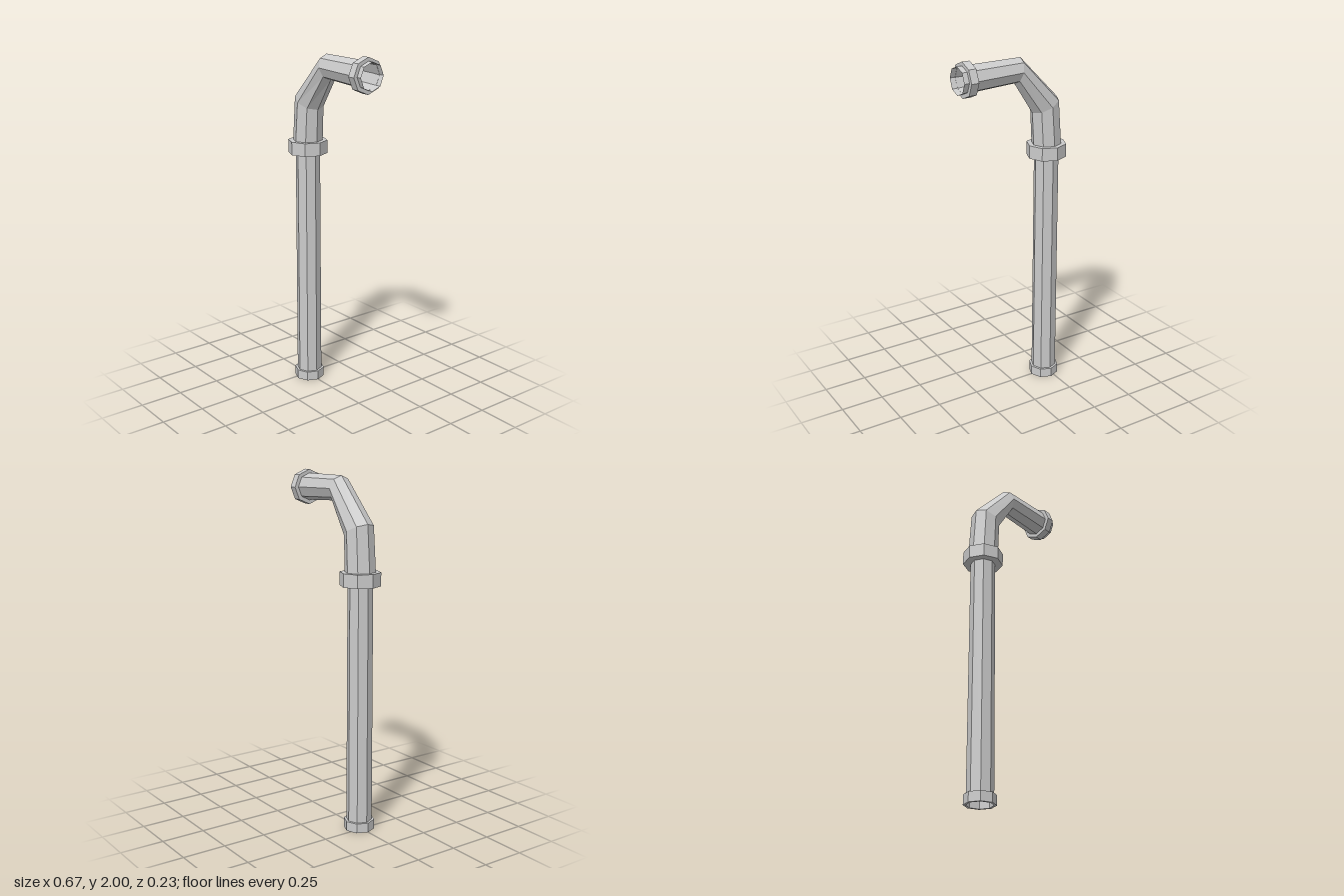
import * as THREE from 'three';

const material = new THREE.MeshStandardMaterial({
  color: 0xcccccc, flatShading: true, side: THREE.DoubleSide,
});
const SIDES = 8;

function part(name, geometry) {
  const mesh = new THREE.Mesh(geometry, material);
  mesh.name = name;
  return mesh;
}

// Octagonal turned part from [radius, height] pairs
function turned(name, profile) {
  return part(name, new THREE.LatheGeometry(profile.map(([r, y]) => new THREE.Vector2(r, y)), SIDES));
}

// Closed octagonal ring with an open bore
function collar(name, inner, outer, y0, y1) {
  return turned(name, [[inner, y0], [outer, y0], [outer, y1], [inner, y1], [inner, y0]]);
}

// Octagonal tube through sections given by their outer point, inner point and half width in z
function bentTube(name, sections) {
  const positions = [], index = [];
  sections.forEach(([ox, oy, ix, iy, w], s) => {
    for (let i = 0; i < SIDES; i++) {
      const a = (i / SIDES) * Math.PI * 2;
      const t = (1 - Math.cos(a)) / 2;
      positions.push(ox + (ix - ox) * t, oy + (iy - oy) * t, w * Math.sin(a));
      if (s === 0) continue;
      const j = (i + 1) % SIDES, lo = (s - 1) * SIDES, hi = s * SIDES;
      index.push(lo + i, lo + j, hi + j, lo + i, hi + j, hi + i);
    }
  });
  const geometry = new THREE.BufferGeometry();
  geometry.setAttribute('position', new THREE.Float32BufferAttribute(positions, 3));
  geometry.setIndex(index);
  geometry.computeVertexNormals();
  return part(name, geometry);
}

export function createModel() {
  const model = new THREE.Group();
  model.name = 'pipe';

  // Upright pipe with its foot and joint collars
  const upright = new THREE.Group();
  upright.name = 'upright';
  upright.position.x = -0.225;
  upright.add(
    turned('uprightPipe', [[0.073, 0], [0.07, 1.44]]),
    collar('footCollar', 0.073, 0.087, 0, 0.055),
    collar('jointCollar', 0.07, 0.113, 1.4, 1.475),
  );
  model.add(upright);

  // Elbow narrowing at its second bend and widening to the outlet
  model.add(bentTube('elbow', [
    [-0.309, 1.45, -0.142, 1.45, 0.086],
    [-0.288, 1.735, -0.13, 1.66, 0.082],
    [-0.05, 1.98, -0.013, 1.842, 0.068],
    [0.335, 1.979, 0.335, 1.825, 0.077],
  ]));

  // Ring near the outlet
  const ring = collar('outletCollar', 0.075, 0.098, 0.259, 0.304);
  ring.rotation.z = -Math.PI / 2;
  ring.position.y = 1.902;
  model.add(ring);

  return model;
}
